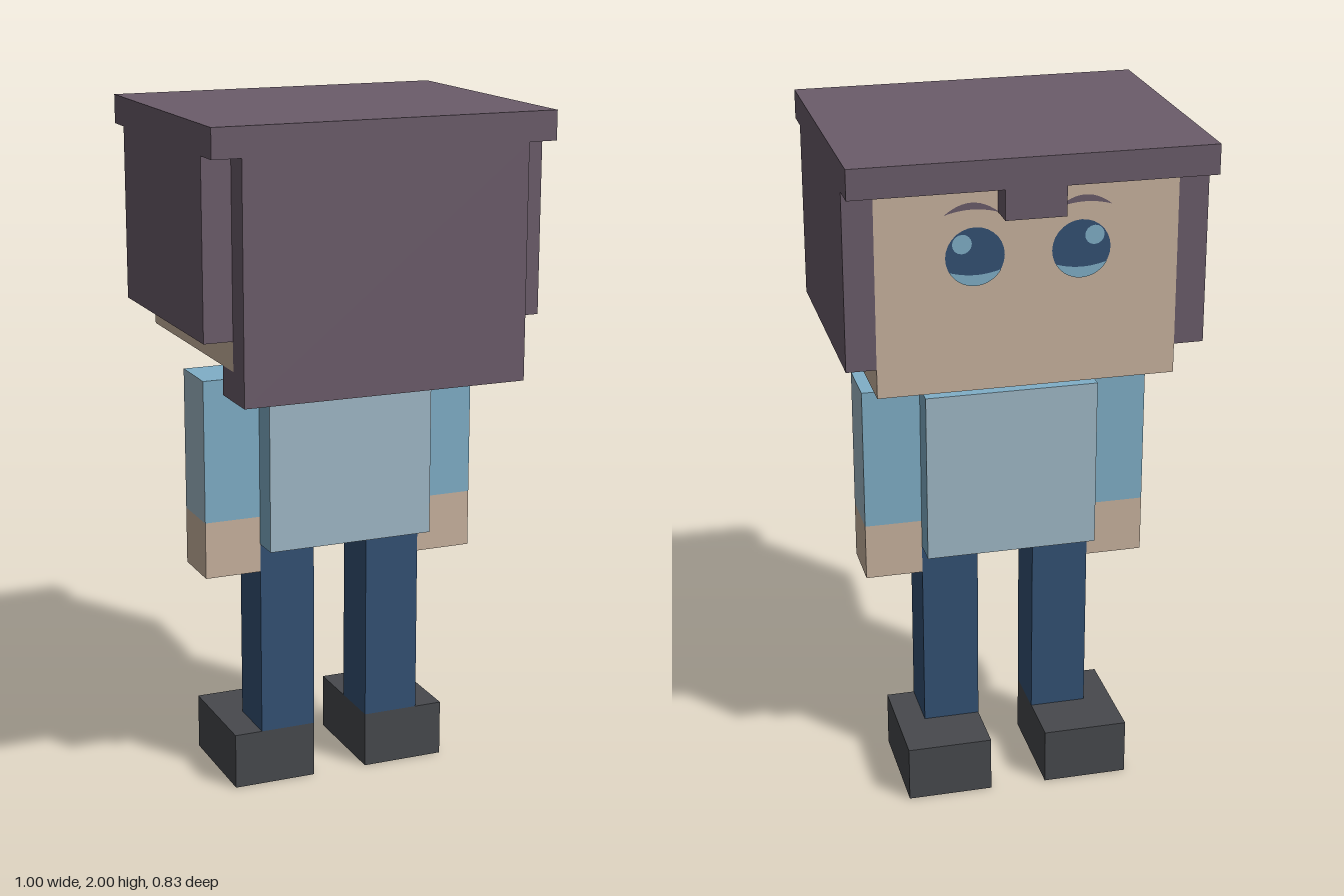
import * as THREE from 'three';

const U = 1 / 12; // block grid step

const paint = (name, color) => {
  const m = new THREE.MeshStandardMaterial({ color });
  m.name = name;
  return m;
};

export function createModel() {
  const hair = paint('plumHair', 0x6b5c6a);
  const skin = paint('skin', 0xc9b39f);
  const pale = paint('paleShirt', 0xa0b9c7);
  const blue = paint('blueShirt', 0x80afc7);
  const navy = paint('navy', 0x335174);
  const shoe = paint('charcoalShoe', 0x47494d);

  const model = new THREE.Group();
  model.name = 'blockFigure';

  // Box between two corners, in grid steps
  const box = (name, mat, [x0, y0, z0], [x1, y1, z1]) => {
    const g = new THREE.BoxGeometry((x1 - x0) * U, (y1 - y0) * U, (z1 - z0) * U);
    const mesh = new THREE.Mesh(g, mat);
    mesh.position.set((x0 + x1) * U / 2, (y0 + y1) * U / 2, (z0 + z1) * U / 2);
    mesh.name = name;
    model.add(mesh);
    return mesh;
  };

  // Head and neck
  box('head', skin, [-5, 16, -4], [5, 23, 4]);
  box('neck', skin, [-1, 15, -1], [1, 16, 1]);

  // Hair: cap, long panel behind, side panels, short tab over the face
  box('hairCap', hair, [-6, 23, -5], [6, 24, 5]);
  box('hairPanel', hair, [-5, 15, 4], [5, 23, 5]);
  box('hairNape', hair, [-5, 15, 3], [5, 16, 4]);
  box('fringeTab', hair, [-1, 22, -5], [1, 23, -4]);

  // Torso: pale front and back, bluer sides
  box('torso', [blue, blue, blue, blue, pale, pale], [-3, 9, -2], [3, 15, 2]);

  // Paired parts
  for (const s of [1, -1]) {
    const side = s > 0 ? 'left' : 'right';
    const pair = (name, mat, a, b) => {
      const [x0, x1] = s > 0 ? [a[0], b[0]] : [-b[0], -a[0]];
      box(side + name, mat, [x0, a[1], a[2]], [x1, b[1], b[2]]);
    };
    pair('HairSide', hair, [5, 17, -4], [6, 23, 4]);
    pair('Sleeve', [pale, pale, blue, blue, blue, blue], [3, 10, -1], [5, 15, 1]);
    pair('Hand', skin, [3, 8, -1], [5, 10, 1]);
    pair('Leg', navy, [1, 2, -1], [3, 9, 1]);
    pair('Shoe', shoe, [1, 0, -3], [4, 2, 1]);
  }

  // Face details, thin layers on the -z side of the head
  const face = new THREE.Group();
  face.name = 'face';
  face.rotation.y = Math.PI;
  face.position.z = -4 * U;
  model.add(face);

  const decal = (name, geo, mat, x, y, z) => {
    const mesh = new THREE.Mesh(geo, mat);
    mesh.name = name;
    mesh.position.set(x, y, z);
    face.add(mesh);
  };

  const R = 0.081;
  const glow = new THREE.Shape(); // lower crescent of the iris
  glow.absarc(0, 0, R, Math.PI * 1.16, Math.PI * 1.84, false);
  glow.quadraticCurveTo(0, -0.062, R * Math.cos(Math.PI * 1.16), R * Math.sin(Math.PI * 1.16));

  const brow = new THREE.Shape();
  brow.moveTo(-0.075, -0.012);
  brow.quadraticCurveTo(0, 0.012, 0.075, -0.012);
  brow.quadraticCurveTo(0, 0.05, -0.075, -0.012);

  for (const s of [1, -1]) {
    const x = s * 0.146;
    decal('eye', new THREE.CircleGeometry(R, 28), navy, x, 1.715, 0.003);
    decal('eyeGlow', new THREE.ShapeGeometry(glow), blue, x, 1.715, 0.006);
    decal('eyeHighlight', new THREE.CircleGeometry(0.027, 16), blue, x + s * 0.036, 1.752, 0.006);
    decal('eyebrow', new THREE.ShapeGeometry(brow), hair, s * 0.155, 1.845, 0.003);
  }

  return model;
}
